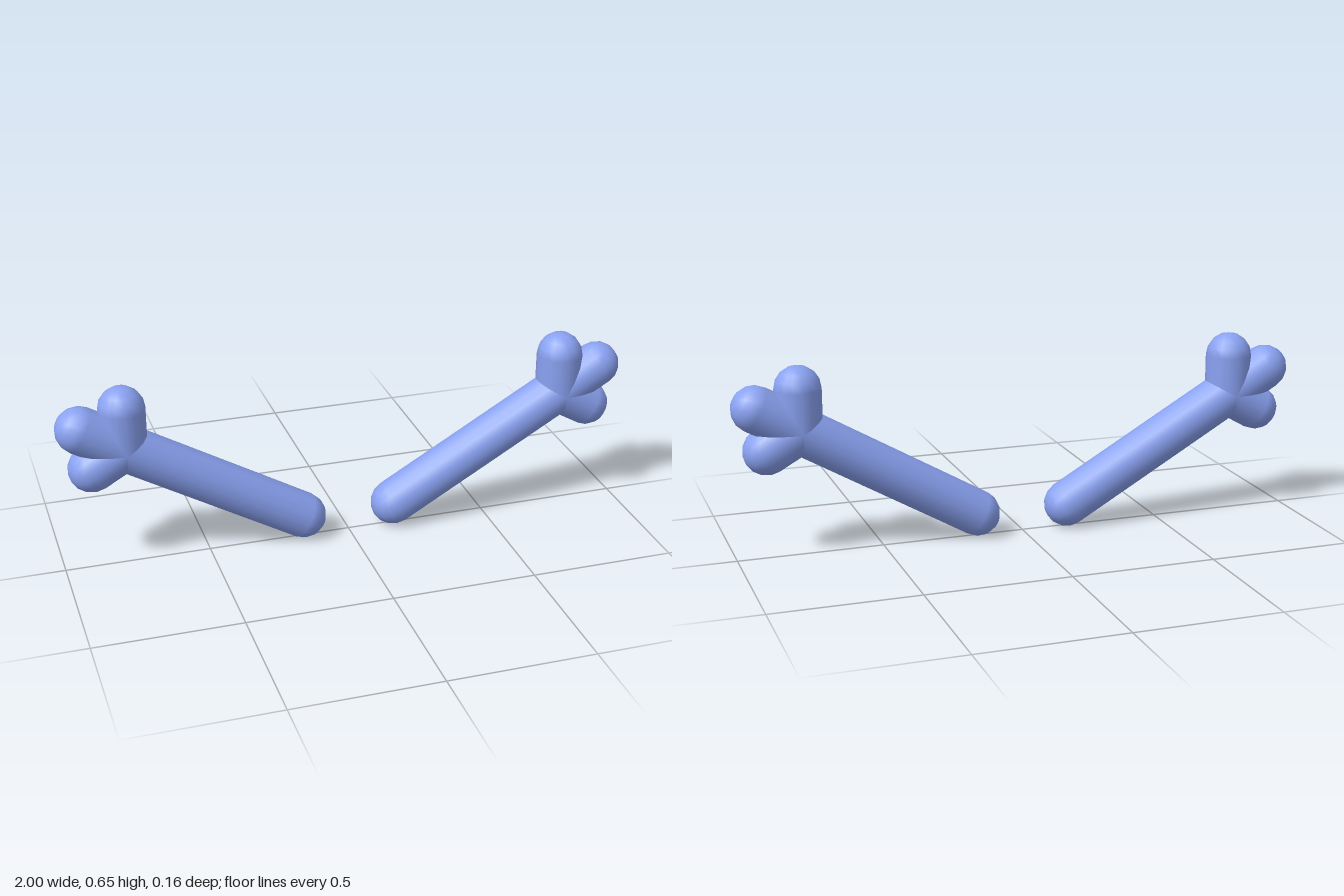
import * as THREE from 'three';

const material = new THREE.MeshStandardMaterial({ color: 0x8aa2f2 });
const RADIUS = 0.08;
const UP = new THREE.Vector3(0, 1, 0);

// Round-ended limb whose cap centres sit on two points of the xy plane
function limb(name, side, from, to) {
  const a = new THREE.Vector3(side * from[0], from[1], 0);
  const b = new THREE.Vector3(side * to[0], to[1], 0);
  const direction = b.clone().sub(a);
  const mesh = new THREE.Mesh(new THREE.CapsuleGeometry(RADIUS, direction.length(), 4, 16), material);
  mesh.name = name;
  mesh.position.addVectors(a, b).multiplyScalar(0.5);
  mesh.quaternion.setFromUnitVectors(UP, direction.normalize());
  return mesh;
}

export function createModel() {
  const model = new THREE.Group();
  model.name = 'armPair';
  const knuckle = [0.777, 0.433]; // where the fingers branch off

  for (const [name, side] of [['left', 1], ['right', -1]]) {
    const arm = new THREE.Group();
    arm.name = name + 'Arm';
    arm.add(
      // Straight arm running on into the middle finger
      limb('armAndMiddleFinger', side, [0.165, 0.08], [0.92, 0.515]),
      // Outer fingers, spread 60 degrees to each side
      limb('upperFinger', side, knuckle, [0.777, 0.571]),
      limb('lowerFinger', side, knuckle, [0.887, 0.37])
    );
    model.add(arm);
  }
  return model;
}
